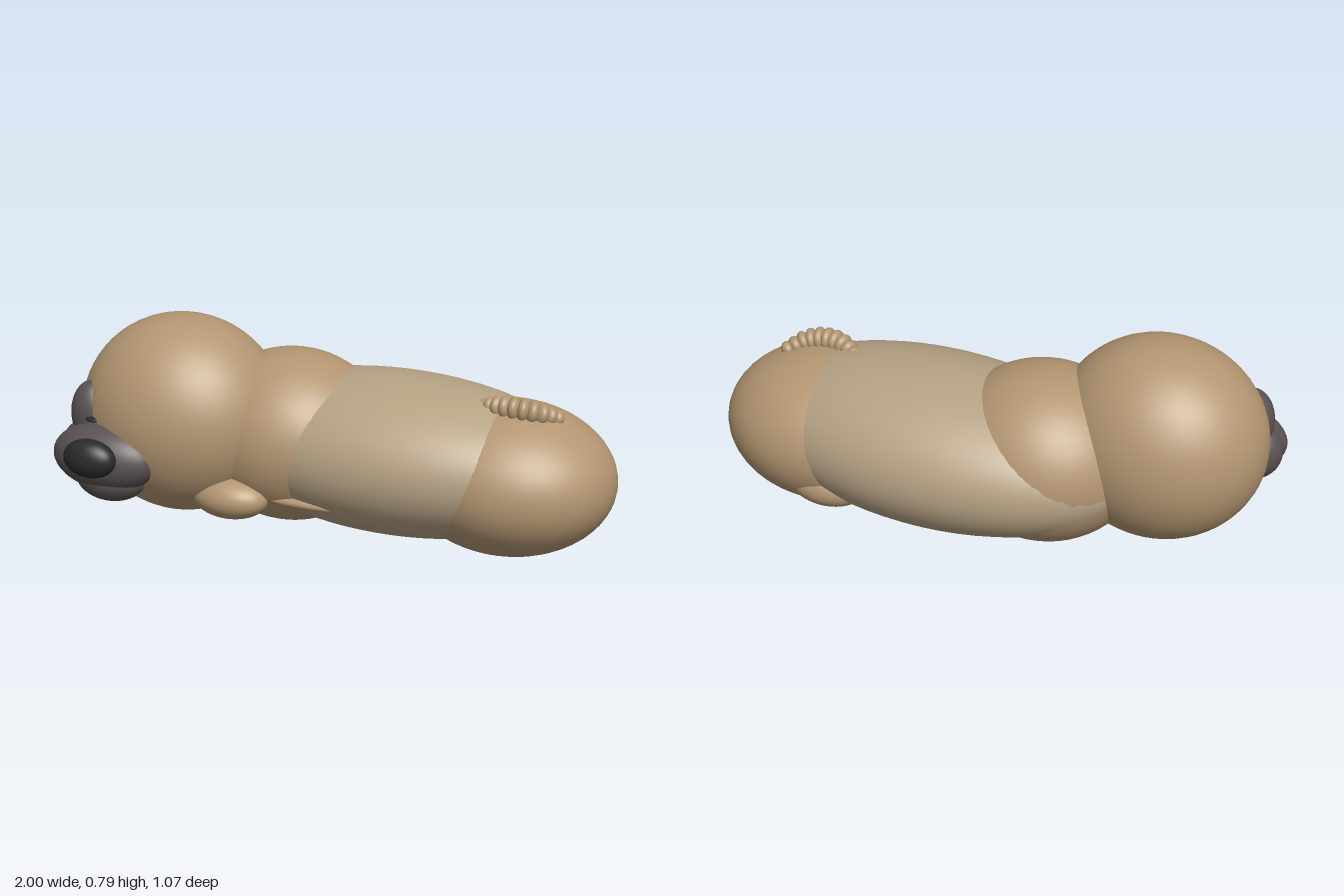
import * as THREE from 'three';

const paint = (color) => new THREE.MeshStandardMaterial({ color });

export function createModel() {
  const model = new THREE.Group();
  const tan = paint(0xb39672), belly = paint(0xb5a284), mask = paint(0x5a5152), black = paint(0x2a2a2a);
  const ball = new THREE.SphereGeometry(1, 48, 32);

  // Every soft volume is a stretched ball: centre and radii
  function blob(name, material, centre, radii, parent = model) {
    const mesh = new THREE.Mesh(ball, material);
    mesh.name = name;
    mesh.position.set(...centre);
    mesh.scale.set(...radii);
    parent.add(mesh);
    return mesh;
  }

  // Body lying along x
  blob('torso', belly, [0.17, 0.312, -0.145], [0.75, 0.293, 0.39]);
  blob('chest', tan, [-0.23, 0.338, -0.092], [0.365, 0.322, 0.34]);
  blob('rump', tan, [0.605, 0.278, -0.157], [0.395, 0.278, 0.345]);
  blob('head', tan, [-0.61, 0.413, 0.055], [0.39, 0.372, 0.345]);

  // Paws
  blob('frontPaw', tan, [-0.34, 0.165, 0.2], [0.15, 0.08, 0.1]);
  blob('sidePaw', tan, [-0.06, 0.172, 0.17], [0.17, 0.02, 0.03]);
  blob('rearPaw', tan, [0.5, 0.165, -0.385], [0.15, 0.08, 0.1]);

  // Face
  blob('muzzle', mask, [-0.775, 0.298, 0.345], [0.215, 0.125, 0.12]);
  blob('chin', mask, [-0.76, 0.22, 0.34], [0.14, 0.088, 0.095]);
  blob('cheek', mask, [-0.87, 0.295, 0.29], [0.122, 0.12, 0.09]);
  blob('eyePatch', mask, [-0.873, 0.43, 0.265], [0.085, 0.125, 0.08]);
  blob('eye', black, [-0.825, 0.43, 0.325], [0.042, 0.011, 0.035]);
  blob('nose', black, [-0.762, 0.332, 0.475], [0.105, 0.072, 0.06]);

  // Ribbed tail: flattened beads threaded along a curve
  const tail = new THREE.Group();
  tail.name = 'tail';
  model.add(tail);
  const path = new THREE.CatmullRomCurve3([
    [0.53, 0.545, -0.105], [0.59, 0.56, -0.08], [0.66, 0.562, -0.075],
    [0.73, 0.55, -0.095], [0.785, 0.525, -0.145],
  ].map((p) => new THREE.Vector3(...p)));
  const beads = 10, forward = new THREE.Vector3(0, 0, 1);
  for (let i = 0; i < beads; i++) {
    const t = i / (beads - 1);
    const r = 0.03 + 0.014 * Math.sin(Math.PI * t);
    const bead = blob('tailRing', tan, path.getPointAt(t).toArray(), [r, r, 0.024], tail);
    bead.quaternion.setFromUnitVectors(forward, path.getTangentAt(t));
  }
  return model;
}
